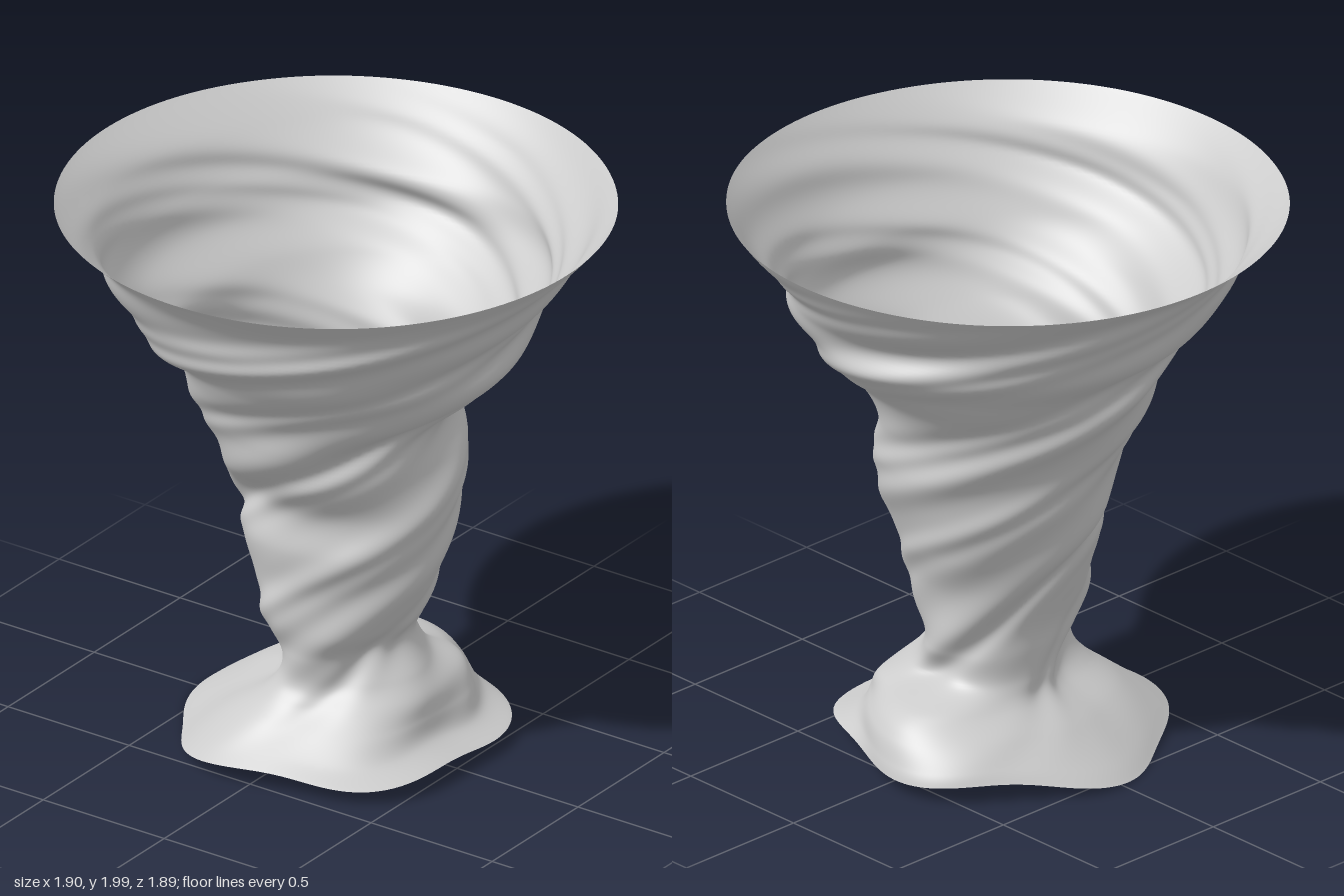
import * as THREE from 'three';

// Height followed by the reach of the skin towards -x, +x, -z, +z
const SECTIONS = [
  [0.06, 0.55, 0.56, 0.58, 0.55],
  [0.10, 0.50, 0.45, 0.57, 0.50],
  [0.17, 0.38, 0.41, 0.54, 0.42],
  [0.235, 0.25, 0.385, 0.47, 0.35],
  [0.30, 0.22, 0.33, 0.31, 0.31],
  [0.40, 0.21, 0.26, 0.30, 0.32],
  [0.50, 0.21, 0.31, 0.31, 0.33],
  [0.65, 0.26, 0.37, 0.33, 0.31],
  [0.80, 0.32, 0.40, 0.38, 0.32],
  [0.95, 0.37, 0.40, 0.42, 0.30],
  [1.10, 0.40, 0.39, 0.44, 0.40],
  [1.25, 0.47, 0.39, 0.46, 0.47],
  [1.38, 0.52, 0.54, 0.52, 0.52],
  [1.50, 0.56, 0.64, 0.64, 0.60],
  [1.62, 0.68, 0.67, 0.75, 0.71],
  [1.74, 0.74, 0.76, 0.76, 0.79],
  [1.88, 0.82, 0.85, 0.87, 0.84],
  [1.99, 0.955, 0.95, 0.95, 0.945],
];
const AROUND = 200;
const UP = 180;

const bump = (y, centre, width) => Math.exp(-(((y - centre) / width) ** 2));
const ridge = (angle, centre, sharpness) => Math.exp(sharpness * (Math.cos(angle - centre) - 1));

// Smooth interpolation of a whole row of the section table
function sectionAt(t) {
  const last = SECTIONS.length - 1;
  const i = Math.min(Math.floor(t * last), last - 1);
  const f = t * last - i;
  const row = (k) => SECTIONS[Math.max(0, Math.min(last, k))];
  return SECTIONS[0].map((_, c) => {
    const a = row(i - 1)[c], b = row(i)[c], d = row(i + 1)[c], e = row(i + 2)[c];
    return b + 0.5 * f * (d - a + f * (2 * a - 5 * b + 4 * d - e + f * (3 * (b - d) + e - a)));
  });
}

// Broad spiral folds that fade towards both rims
function folds(u, y) {
  const wave = 0.35 * Math.sin(3 * u + 0.6)
    + 0.55 * Math.sin(5 * u + 1.3 + 0.8 * Math.sin(2 * u + y))
    + 0.25 * Math.sin(8 * u + 2.1 + 1.2 * Math.sin(3 * u + 2.5 * y));
  const strength = 0.018 * THREE.MathUtils.smoothstep(y, 0, 0.3)
    * (1 - 0.9 * THREE.MathUtils.smoothstep(y, 1.75, 2));
  return strength * (wave - 0.1);
}

function skinPoint(angle, t) {
  const [y, left, right, back, front] = sectionAt(t);
  const c = Math.cos(angle), s = Math.sin(angle);
  const u = angle + 3 * y + 0.8 * y * y; // angle that follows the twist
  let r = 1 / Math.hypot(c / (c < 0 ? left : right), s / (s < 0 ? back : front));
  r += folds(u, y);

  // Flattened side of the neck, a shallow crease beside it, and a shoulder higher up
  r -= 0.075 * bump(y, 0.3, 0.17) * ridge(u, 3.26, 3);
  r -= 0.035 * bump(y, 0.25, 0.2) * ridge(u, 1.8, 9);
  r += 0.05 * bump(y, 1.05, 0.2) * ridge(u, 3.25, 5);

  // Five-cornered skirt with a wavy hem
  const skirt = bump(y, 0.05, 0.13);
  r *= 1 + skirt * 0.05 * Math.cos(5 * (angle - 0.66));
  const hem = skirt * (0.01 * Math.sin(5 * angle + 0.4) - 0.068 * Math.max(0, Math.cos(angle - 2.8)) ** 6);

  return [r * c, Math.max(0, y + hem), r * s];
}

// Closed rings of points joined into one smooth open sleeve
function sleeveGeometry() {
  const positions = [];
  const index = [];
  for (let j = 0; j <= UP; j++) {
    for (let i = 0; i < AROUND; i++) {
      positions.push(...skinPoint((i / AROUND) * Math.PI * 2, j / UP));
    }
  }
  for (let j = 0; j < UP; j++) {
    for (let i = 0; i < AROUND; i++) {
      const n = (i + 1) % AROUND;
      const a = j * AROUND + i, b = j * AROUND + n;
      const d = a + AROUND, e = b + AROUND;
      index.push(a, d, b, b, d, e);
    }
  }
  const geometry = new THREE.BufferGeometry();
  geometry.setAttribute('position', new THREE.Float32BufferAttribute(positions, 3));
  geometry.setIndex(index);
  geometry.computeVertexNormals();
  return geometry;
}

export function createModel() {
  const group = new THREE.Group();
  group.name = 'twistedFunnel';
  const material = new THREE.MeshStandardMaterial({ color: 0xcccccc, side: THREE.DoubleSide });
  const funnel = new THREE.Mesh(sleeveGeometry(), material);
  funnel.name = 'funnelSkin';
  group.add(funnel);
  return group;
}
